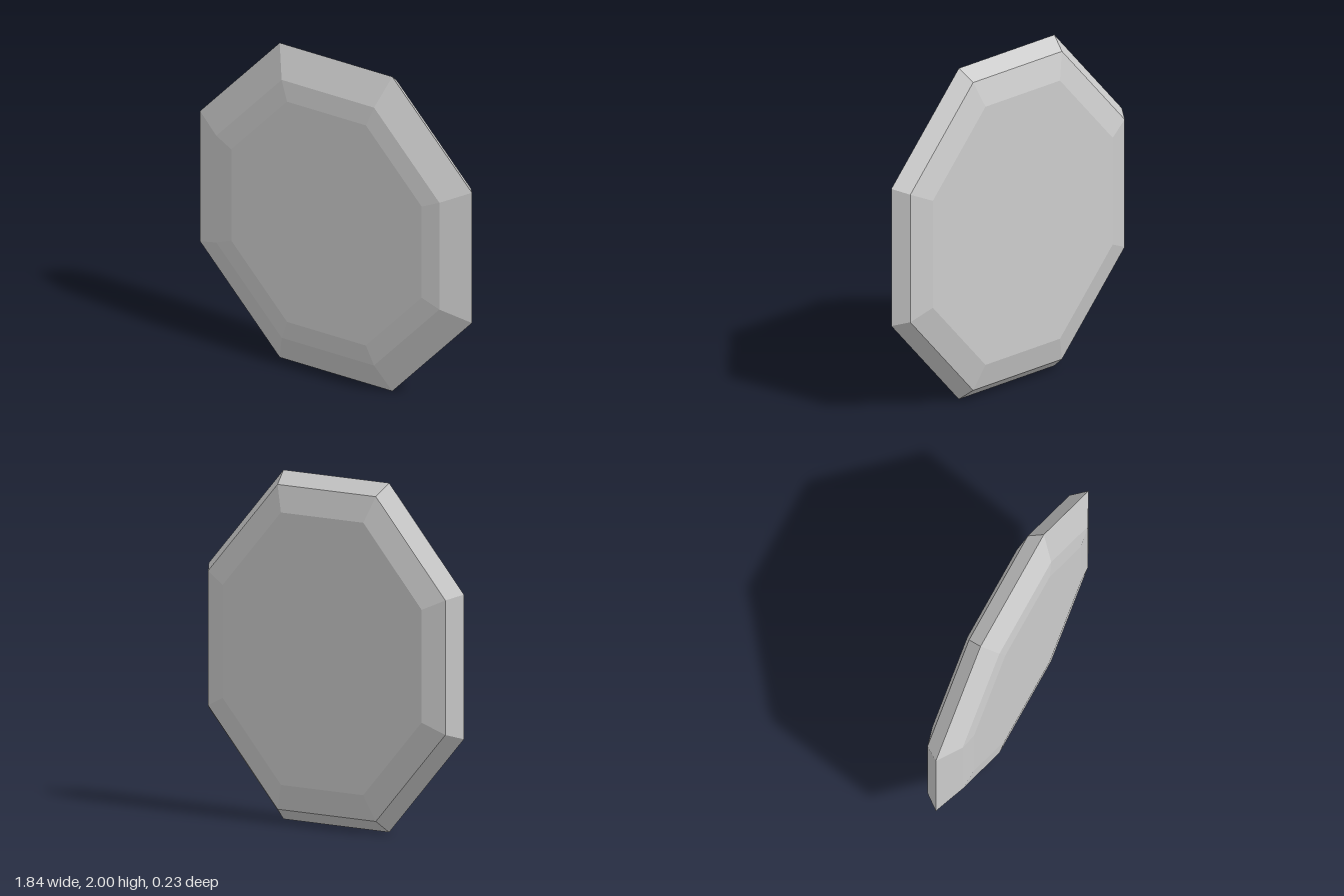
import * as THREE from 'three';

const SIDES = 8;
const WIDTH = 0.92; // width relative to height

// Flat-faced octagonal shell from [half height, z] rings listed back to front
function octagonShell(name, rings, material) {
  const points = rings.map(([h, z]) => new THREE.Vector2(h / Math.cos(Math.PI / SIDES), z));
  const lathe = new THREE.LatheGeometry(points, SIDES);
  lathe.rotateY(Math.PI / SIDES).rotateX(Math.PI / 2).scale(WIDTH, 1, 1).translate(0, 1, 0);
  const geometry = lathe.toNonIndexed();
  geometry.computeVertexNormals();
  const mesh = new THREE.Mesh(geometry, material);
  mesh.name = name;
  return mesh;
}

export function createModel() {
  const group = new THREE.Group();
  group.name = 'octagonalCutGem';
  const grey = new THREE.MeshStandardMaterial({ color: 0xcccccc });
  grey.name = 'light grey';

  // Back: flat face with a bevel
  group.add(octagonShell('backFacets', [[0, -0.114], [0.78, -0.114], [0.93, -0.072]], grey));
  // Rim: slanted band out to the widest edge
  group.add(octagonShell('rimBand', [[0.93, -0.072], [1, 0.016]], grey));
  // Front: steep bevel, shallow bevel and flat table
  group.add(octagonShell('frontFacets', [[1, 0.016], [0.82, 0.1], [0.7, 0.114], [0, 0.114]], grey));

  return group;
}
